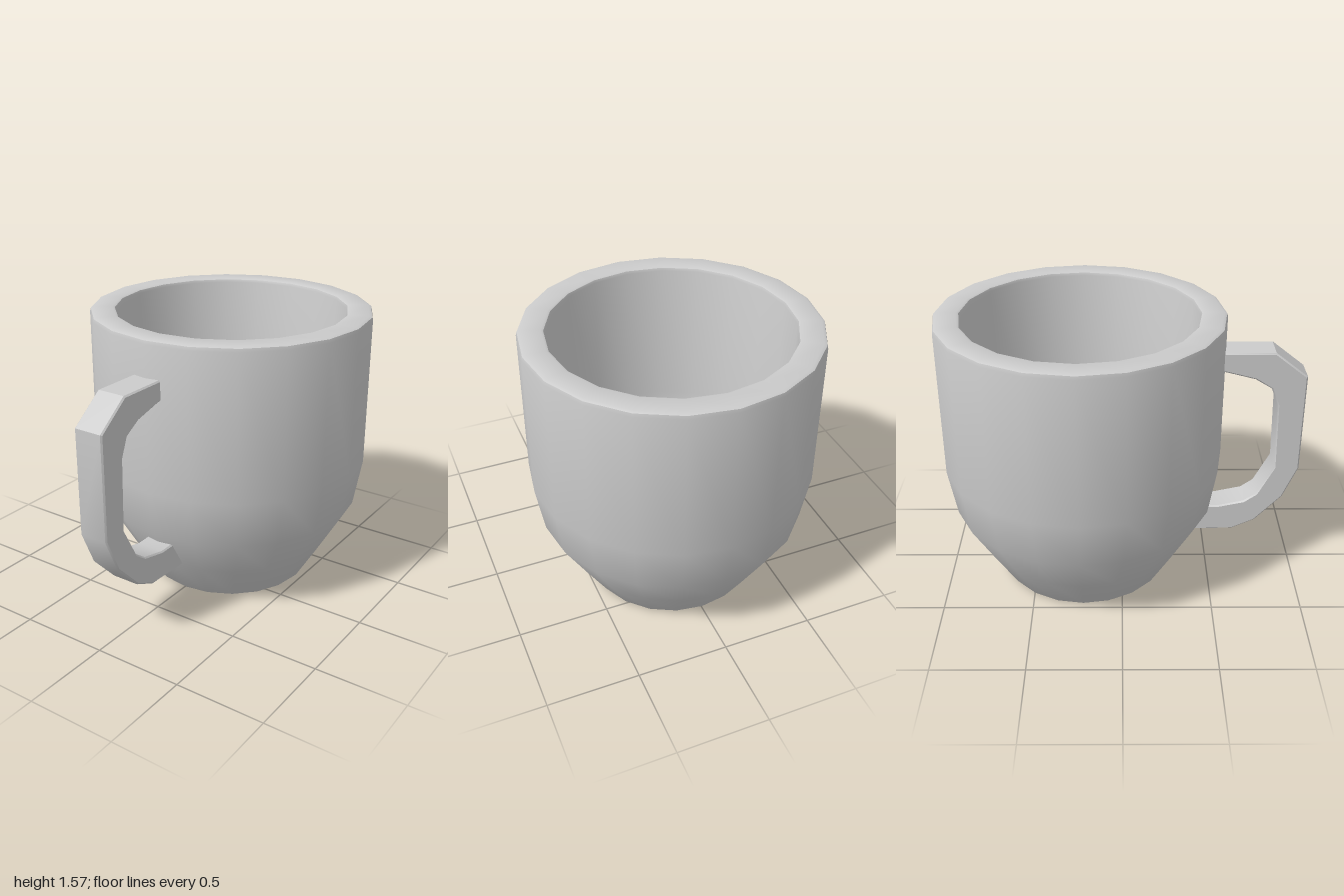
import * as THREE from 'three';
import { toCreasedNormals } from 'three/addons/utils/BufferGeometryUtils.js';

const CREASE = 0.6;
const toPoints = (pairs) => pairs.map(([x, y]) => new THREE.Vector2(x, y));

export function createModel() {
  const group = new THREE.Group();
  group.name = 'mug';
  const material = new THREE.MeshStandardMaterial({ color: 0xcccccc });

  const addPart = (name, geometry) => {
    const mesh = new THREE.Mesh(toCreasedNormals(geometry, CREASE), material);
    mesh.name = name;
    group.add(mesh);
    return mesh;
  };

  // Cup: one closed profile from the recessed base, up the outside, over the rim, down the inside
  const profile = toPoints([
    [0, 0.04], [0.4, 0.04], [0.43, 0],
    [0.46, 0], [0.475, 0.015], [0.6, 0.225], [0.735, 0.46], [0.78, 0.73],
    [0.78, 1.545], [0.775, 1.563], [0.76, 1.57],
    [0.655, 1.57], [0.643, 1.565], [0.638, 1.55],
    [0.638, 0.74], [0.6, 0.5], [0.48, 0.28], [0.38, 0.14], [0, 0.14],
  ]);
  const cup = addPart('cup', new THREE.LatheGeometry(profile, 20));
  cup.position.z = -0.22;

  // Handle: side outline (z, y) extruded across x, both ends sunk into the cup wall
  const outline = new THREE.Shape(toPoints([
    [0.48, 1.37], [0.48, 1.27], [0.565, 1.255], [0.72, 1.215], [0.81, 1.16], [0.85, 1.06],
    [0.86, 0.665], [0.77, 0.49], [0.7, 0.44], [0.555, 0.408], [0.44, 0.41],
    [0.35, 0.245], [0.64, 0.25], [0.77, 0.31], [0.92, 0.47], [1, 0.66],
    [1, 1.23], [0.82, 1.37],
  ]));
  const width = 0.17, bevel = 0.008;
  const handle = new THREE.ExtrudeGeometry(outline, {
    depth: width - 2 * bevel, bevelThickness: bevel, bevelSize: bevel,
    bevelOffset: -bevel, bevelSegments: 1,
  });
  handle.translate(0, 0, bevel - width / 2).rotateY(-Math.PI / 2);
  addPart('handle', handle);

  return group;
}
